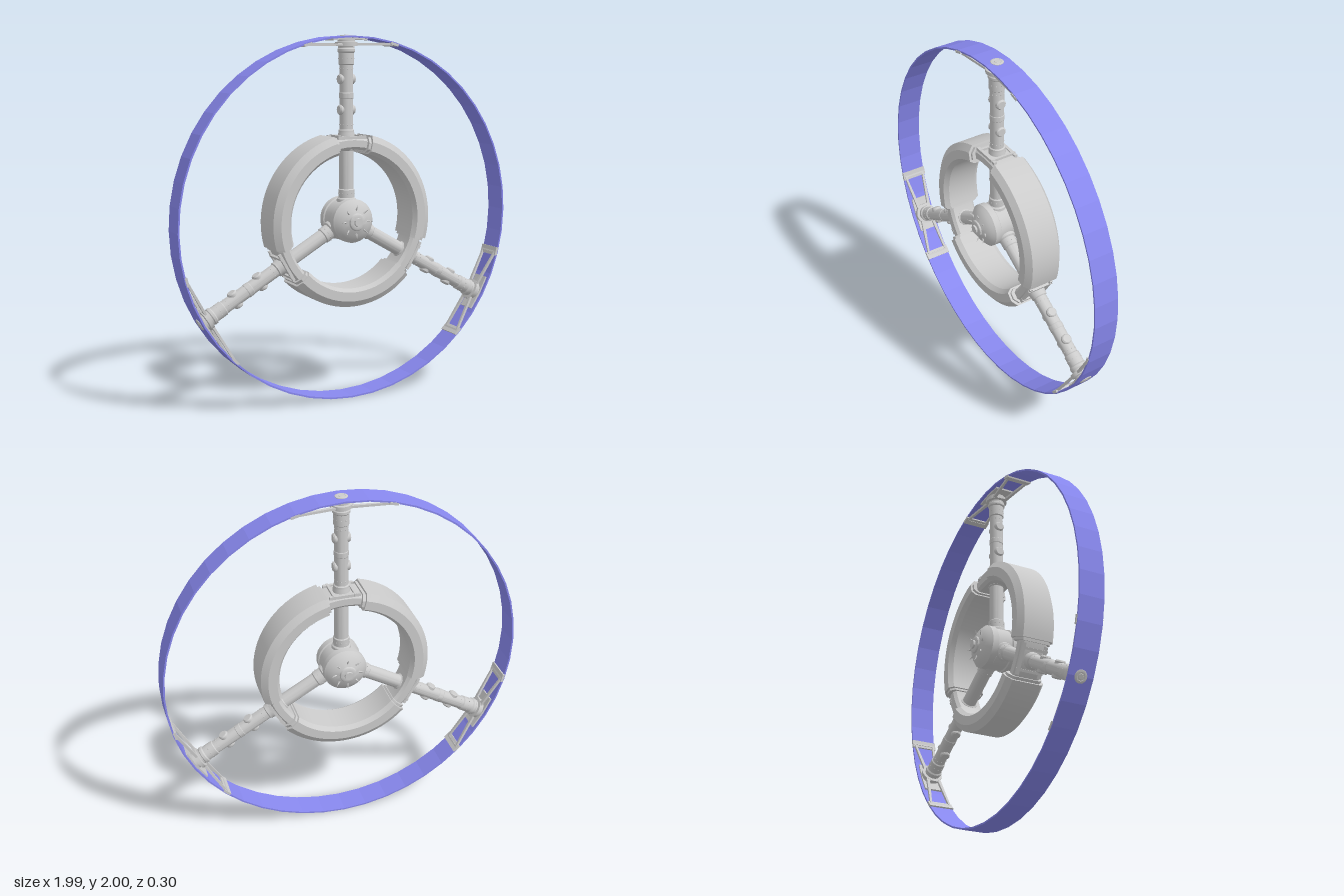
import * as THREE from 'three';
import { toCreasedNormals } from 'three/addons/utils/BufferGeometryUtils.js';

const grey = new THREE.MeshStandardMaterial({ color: 0xcccccc });
const blue = new THREE.MeshStandardMaterial({ color: 0x8888ee, side: THREE.DoubleSide });
const rad = THREE.MathUtils.degToRad;

function add(parent, name, geometry, material = grey, crease = 0.5) {
  const mesh = new THREE.Mesh(toCreasedNormals(geometry, crease), material);
  mesh.name = name;
  parent.add(mesh);
  return mesh;
}

// Sweeps a convex [radius, z] profile around the z axis, from a0 to a1 degrees, with end caps
function arc(profile, a0, a1, steps) {
  const out = [];
  const n = profile.length;
  const point = (i, j) => {
    const a = rad(a0 + ((a1 - a0) * i) / steps);
    const [r, z] = profile[j % n];
    return [r * Math.cos(a), r * Math.sin(a), z];
  };
  for (let i = 0; i < steps; i++) {
    for (let j = 0; j < n; j++) {
      const a = point(i, j), b = point(i + 1, j), c = point(i + 1, j + 1), d = point(i, j + 1);
      out.push(...a, ...b, ...c, ...a, ...c, ...d);
    }
  }
  if (a1 - a0 < 360) {
    for (let j = 1; j < n - 1; j++) {
      out.push(...point(0, 0), ...point(0, j), ...point(0, j + 1));
      out.push(...point(steps, 0), ...point(steps, j + 1), ...point(steps, j));
    }
  }
  const g = new THREE.BufferGeometry();
  g.setAttribute('position', new THREE.Float32BufferAttribute(out, 3));
  return g;
}

// Chamfered block profile between two radii
function block(r0, r1, z, cIn, cOut, cz) {
  return [[r1, -z + cz], [r1, z - cz], [r1 - cOut, z], [r0 + cIn, z],
    [r0, z - cz], [r0, -z + cz], [r0 + cIn, -z], [r1 - cOut, -z]];
}
const band = (r0, r1, z) => [[r1, -z], [r1, z], [r0, z], [r0, -z]];
const lathe = (pts, sides) => new THREE.LatheGeometry(pts.map(p => new THREE.Vector2(...p)), sides);

function makeHub() {
  const hub = new THREE.Group();
  hub.name = 'hub';
  const half = [[0.113, 0], [0.113, 0.04], [0.12, 0.045], [0.12, 0.08], [0.112, 0.088],
    [0.1, 0.1], [0.078, 0.115], [0.048, 0.128], [0.044, 0.136], [0.036, 0.14],
    [0.024, 0.14], [0.022, 0.15], [0, 0.15]];
  const profile = [...half.slice(1).reverse().map(([r, z]) => [r, -z]), ...half];
  add(hub, 'hubBody', lathe(profile, 32).rotateX(Math.PI / 2));
  // radial ribs on both domes
  for (const side of [0, Math.PI]) {
    const face = new THREE.Group();
    face.name = 'hubRibs';
    face.rotation.y = side;
    for (let i = 0; i < 8; i++) {
      const rib = new THREE.ConeGeometry(0.011, 0.06, 4);
      rib.rotateX(0.5).translate(0, 0.068, 0.12).rotateZ((i * Math.PI) / 4);
      add(face, 'hubRib', rib);
    }
    hub.add(face);
  }
  return hub;
}

// Tapered strut frame running along +x from the spoke end to the rim
function strutFrame() {
  const quad = (x0, z0, x1, z1) => [[x0, -z0], [x1, -z1], [x1, z1], [x0, z0]].map(p => new THREE.Vector2(...p));
  const shape = new THREE.Shape(quad(0.03, 0.042, 0.275, 0.066));
  shape.holes.push(new THREE.Path(quad(0.06, 0.027, 0.25, 0.052).reverse()));
  return new THREE.ExtrudeGeometry(shape, { depth: 0.013, bevelEnabled: false })
    .rotateX(-Math.PI / 2).translate(0, 0.943, 0);
}

// One spoke along +y, with its ring joint and rim mount
function makeSpoke() {
  const spoke = new THREE.Group();
  spoke.name = 'spoke';
  add(spoke, 'spokeTube', lathe([
    [0.054, 0.09], [0.052, 0.115], [0.044, 0.122], [0.044, 0.165], [0.039, 0.17],
    [0.039, 0.38], [0.046, 0.385], [0.046, 0.468], [0.043, 0.476], [0.043, 0.49], [0.037, 0.495],
    [0.037, 0.66], [0.039, 0.663], [0.039, 0.69], [0.037, 0.693],
    [0.037, 0.84], [0.042, 0.845], [0.042, 0.905], [0.048, 0.912], [0.048, 0.925],
    [0.044, 0.93], [0.044, 0.94], [0.06, 0.942], [0.06, 0.962], [0.048, 0.965], [0.048, 0.99]], 24));
  // side ports
  for (const y of [0.6, 0.765]) {
    for (const side of [-1, 1]) {
      const port = lathe([[0.028, 0.025], [0.028, 0.04], [0.022, 0.047], [0, 0.047]], 16);
      add(spoke, 'spokePort', port.rotateZ((-side * Math.PI) / 2).translate(0, y, 0));
    }
  }
  // rivet rows
  for (const [y, r] of [[0.145, 0.044], [0.52, 0.037], [0.82, 0.037], [0.875, 0.042]]) {
    for (let i = 0; i < 10; i++) {
      const rivet = new THREE.SphereGeometry(0.003, 6, 4).translate(r, y, 0);
      add(spoke, 'rivet', rivet.rotateY((i * Math.PI) / 5));
    }
  }
  // ring joint: cross rails in the gap between armour segments
  for (const side of [-1, 1]) {
    add(spoke, 'jointRail', new THREE.BoxGeometry(0.014, 0.016, 0.15).translate(side * 0.058, 0.455, 0));
    add(spoke, 'jointEdge', new THREE.BoxGeometry(0.17, 0.016, 0.018).translate(0, 0.452, side * 0.064));
  }
  // rim mount: saddle, strut frames, end clamps and outer stud
  add(spoke, 'rimSaddle', arc(band(0.977, 0.992, 0.052), 84, 96, 6));
  for (const side of [-1, 1]) {
    add(spoke, 'strutFrame', strutFrame().rotateY(side > 0 ? 0 : Math.PI));
    const mid = 90 - side * 15.3;
    add(spoke, 'rimClamp', arc(band(0.978, 0.992, 0.073), mid - 1.4, mid + 1.4, 2));
  }
  add(spoke, 'rimStud', lathe([[0.034, 0.985], [0.034, 0.998], [0.03, 1.0],
    [0.022, 1.0], [0.02, 0.9985], [0.015, 0.9985], [0.013, 1.001], [0, 1.001]], 20));
  return spoke;
}

export function createModel() {
  const model = new THREE.Group();
  model.name = 'wheel';
  const wheel = new THREE.Group();
  wheel.name = 'wheelAssembly';
  wheel.position.y = 1;
  model.add(wheel);

  // thin outer rim
  add(wheel, 'outerRim', arc(band(0.988, 0.997, 0.07), -90, 270, 48), blue, 0.05);
  wheel.add(makeHub());

  // inner ring core and its three armour segments
  add(wheel, 'innerRing', arc(block(0.388, 0.455, 0.078, 0.015, 0.015, 0.015), 0, 360, 72));
  const armour = block(0.372, 0.475, 0.11, 0.018, 0.035, 0.026);
  const lip = block(0.38, 0.464, 0.098, 0.018, 0.03, 0.024);
  for (let i = 0; i < 3; i++) {
    const start = 90 + i * 120;
    add(wheel, 'ringArmour', arc(armour, start + 14, start + 106, 20), grey, 0.3);
    add(wheel, 'ringArmourLip', arc(lip, start + 12, start + 108, 20), grey, 0.3);
    const spoke = makeSpoke();
    spoke.rotation.z = rad(i * 120);
    wheel.add(spoke);
  }
  return model;
}
